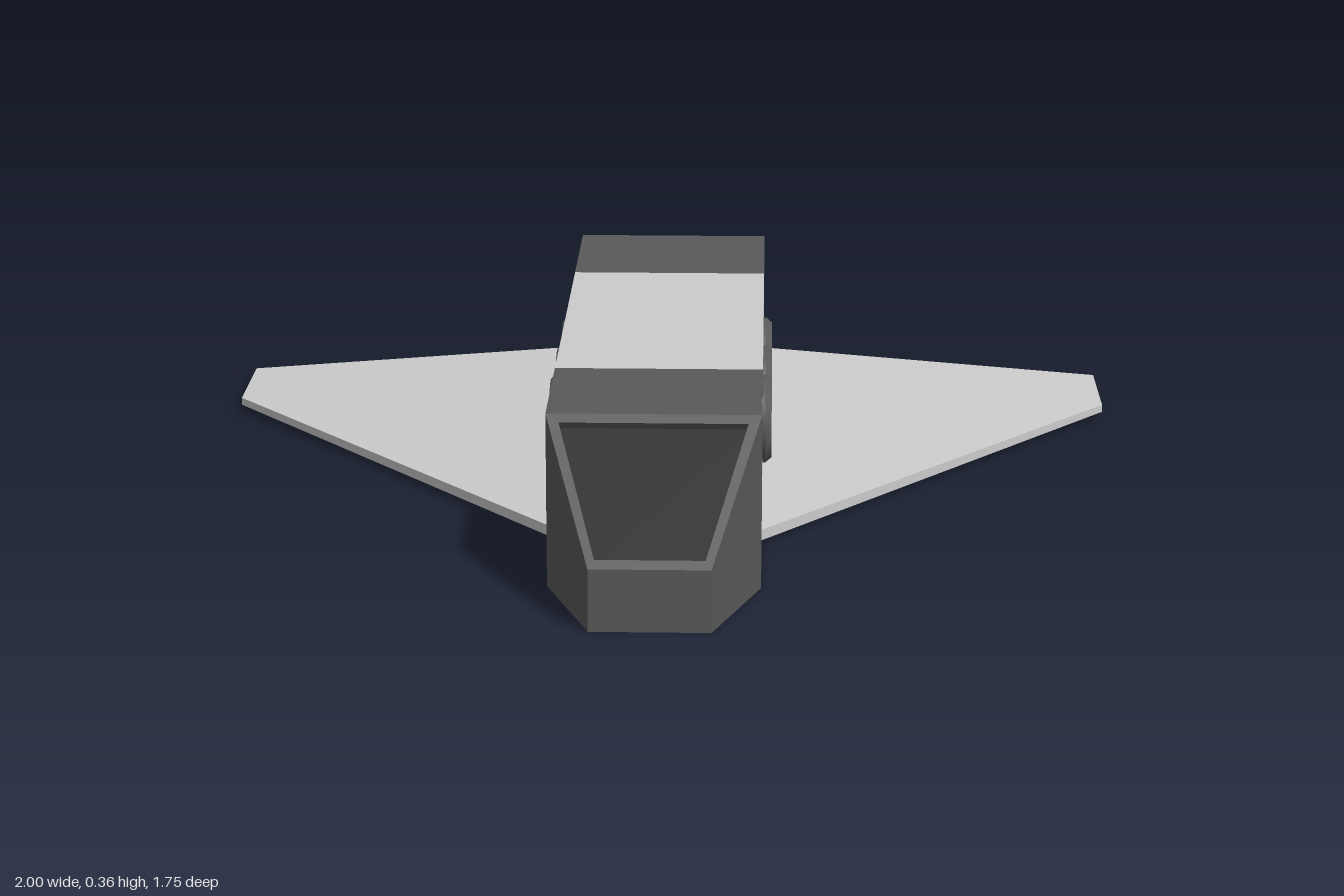
import * as THREE from 'three';

const grey = new THREE.MeshStandardMaterial({ color: 0xcccccc, flatShading: true });
const dark = new THREE.MeshStandardMaterial({ color: 0x595959, flatShading: true });
const darkSmooth = new THREE.MeshStandardMaterial({ color: 0x595959 });
const black = new THREE.MeshStandardMaterial({ color: 0x0c0c0c, flatShading: true });

const W = 0.215, H = 0.362; // fuselage half width and height

// Flat-shaded mesh from four-cornered faces, corners counter-clockwise from outside
function quadMesh(name, quads, material) {
  const pos = [];
  for (const [a, b, c, d] of quads) for (const p of [a, b, c, a, c, d]) pos.push(...p);
  const geo = new THREE.BufferGeometry();
  geo.setAttribute('position', new THREE.Float32BufferAttribute(pos, 3));
  geo.computeVertexNormals();
  const mesh = new THREE.Mesh(geo, material);
  mesh.name = name;
  return mesh;
}

// Faces joining two four-cornered loops
function band(p, q) {
  return p.map((a, i) => {
    const j = (i + 1) % 4;
    return [a, p[j], q[j], q[i]];
  });
}

const rect = (w, h, z) => [[-w, 0, z], [w, 0, z], [w, h, z], [-w, h, z]];

// Cabin: straight section, tapered nose and a sloped windshield set into a rim
function buildNose() {
  const g = new THREE.Group();
  g.name = 'nose';
  const back = rect(W, H, 0.28), mid = rect(W, H, 0.61), front = rect(0.12, 0.128, 0.877);
  const taper = band(mid, front).filter((_, i) => i !== 2);
  const slope = [front[3], front[2], mid[2], mid[3]];

  // Inset corners run along the slope, then sink along its normal
  const len = Math.hypot(0.234, 0.267), n = [0.267 / len, 0.234 / len];
  const corner = (x, t, sink) => [x, 0.128 + 0.234 * t - n[1] * sink * 1.14, 0.877 - 0.267 * t - n[0] * sink * 0.88];
  const inset = (sink) => [corner(-0.108, 0.06, sink), corner(0.108, 0.06, sink),
    corner(0.188, 0.94, sink), corner(-0.188, 0.94, sink)];
  const lip = inset(0), glass = inset(0.02);

  g.add(quadMesh('noseShell', [
    [back[3], back[2], back[1], back[0]], ...band(back, mid), ...taper, front,
    ...band(slope, lip), ...band(lip, glass),
  ], dark));
  g.add(quadMesh('windshield', [glass], black));
  return g;
}

// Tail block with a sunken hatch underneath
function buildTail() {
  const g = new THREE.Group();
  g.name = 'tail';
  const rear = rect(W, H, -0.877), front = rect(W, H, -0.52);
  const sides = band(rear, front).slice(1);
  const hatch = (w, d, y) => [[-w, y, -0.6985 - d], [w, y, -0.6985 - d], [w, y, -0.6985 + d], [-w, y, -0.6985 + d]];
  const outer = hatch(W, 0.1785, 0), lip = hatch(0.15, 0.12, 0), floor = hatch(0.135, 0.107, 0.012);
  g.add(quadMesh('tailShell', [
    [rear[3], rear[2], rear[1], rear[0]], front, ...sides, ...band(outer, lip), ...band(lip, floor),
  ], dark));
  g.add(quadMesh('hatchPanel', [floor], grey));
  return g;
}

// Swept wing, thickest at the rear of the root; s is the side
function buildWing(s) {
  const x0 = s * 0.2, x1 = s;
  const rf = [x0, 0.036, 0.365], rb = [x0, 0.093, -0.867], tb = [x1, 0.03, -0.867], tf = [x1, 0.03, -0.615];
  const low = ([x, , z]) => [x, 0.013, z];
  const [rfL, rbL, tbL, tfL] = [rf, rb, tb, tf].map(low);
  const faces = [
    [tf, tb, rb, rf], [rfL, rbL, tbL, tfL], // top and underside
    [rfL, tfL, tf, rf], [tfL, tbL, tb, tf], [tbL, rbL, rb, tb], [rbL, rfL, rf, rb],
  ];
  return quadMesh(s > 0 ? 'leftWing' : 'rightWing',
    s > 0 ? faces : faces.map(([a, b, c, d]) => [a, d, c, b]), grey);
}

// Round porthole: bevelled ring with dark glass sunk inside
function buildPorthole(s, z) {
  const g = new THREE.Group();
  g.name = 'porthole';
  const profile = [[0.093, -0.01], [0.093, 0.006], [0.082, 0.019], [0.074, 0.019], [0.068, 0.002]];
  // Each segment is lathed alone so the ring edges stay sharp
  for (let i = 0; i < profile.length - 1; i++) {
    const pts = profile.slice(i, i + 2).map(([r, h]) => new THREE.Vector2(r, h));
    const ring = new THREE.Mesh(new THREE.LatheGeometry(pts, 32), i === 3 ? black : darkSmooth);
    ring.name = 'portholeRing';
    g.add(ring);
  }
  const glass = new THREE.Mesh(new THREE.CircleGeometry(0.07, 32), black);
  glass.name = 'portholeGlass';
  glass.rotation.x = -Math.PI / 2;
  glass.position.y = 0.003;
  g.add(glass);
  g.rotation.z = -s * Math.PI / 2;
  g.position.set(s * W, 0.207, z);
  return g;
}

export function createModel() {
  const model = new THREE.Group();
  model.name = 'shuttle';

  const fuselage = new THREE.Mesh(new THREE.BoxGeometry(2 * W, H - 0.004, 0.8), grey);
  fuselage.name = 'fuselage';
  fuselage.position.set(0, H / 2 + 0.002, -0.12);
  model.add(fuselage, buildNose(), buildTail());

  for (const s of [1, -1]) {
    model.add(buildWing(s));
    for (const z of [0.115, -0.12, -0.355]) model.add(buildPorthole(s, z));
  }
  return model;
}
